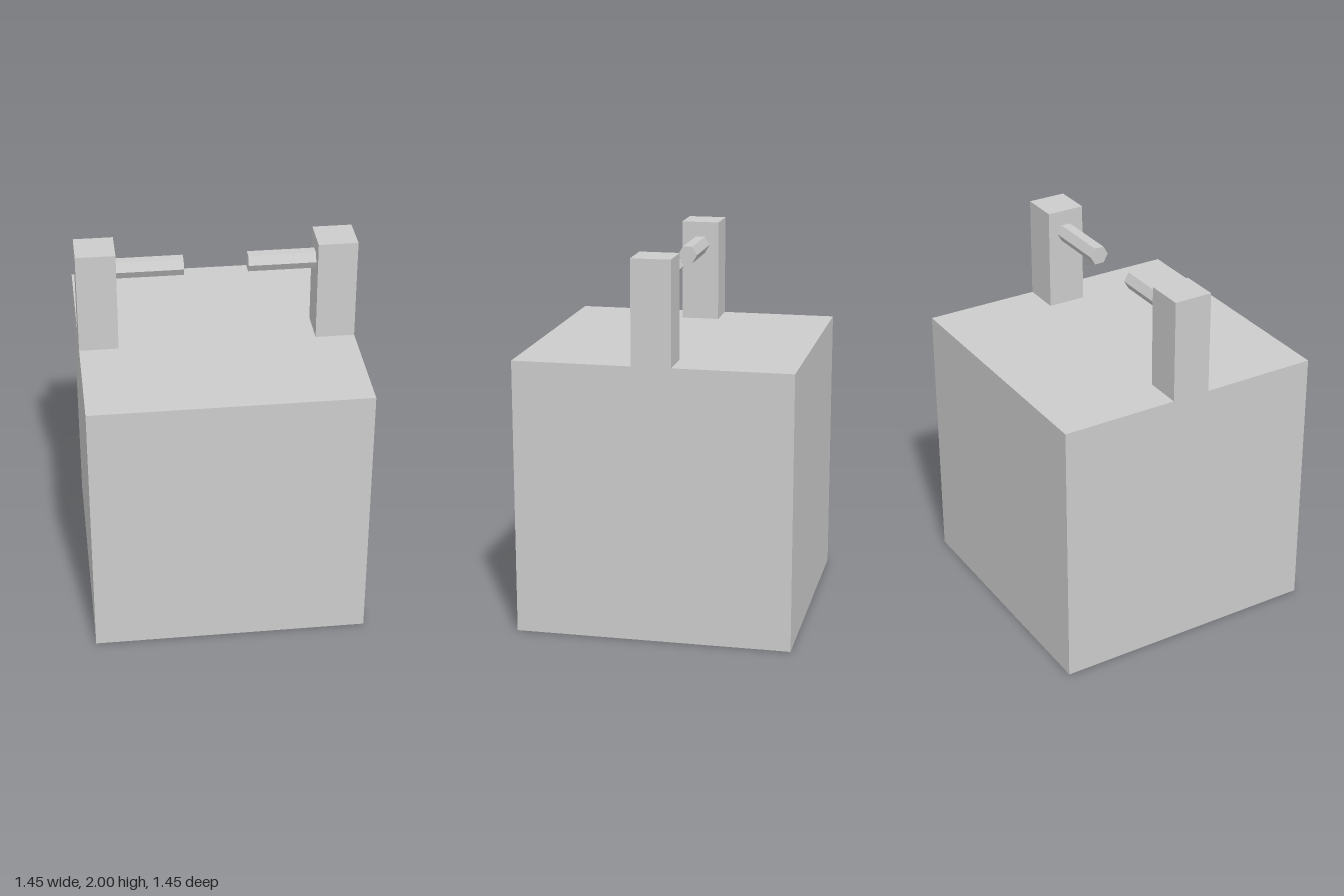
import * as THREE from 'three';

export function createModel() {
  const model = new THREE.Group();
  const material = new THREE.MeshStandardMaterial({ color: 0xcccccc, flatShading: true });

  const HALF = 0.725;     // half width of the cube
  const BODY_H = 1.455;   // top of the cube
  const POST_W = 0.206;
  const POST_H = 2 - BODY_H;
  const PEG_INNER = 0.167;
  const PEG_Y = 1.873;

  const add = (name, geometry, x, y) => {
    const mesh = new THREE.Mesh(geometry, material);
    mesh.name = name;
    mesh.position.set(x, y, 0);
    model.add(mesh);
  };

  // Cube body
  add('body', new THREE.BoxGeometry(HALF * 2, BODY_H, HALF * 2), 0, BODY_H / 2);

  // Square posts flush with the sides, each with a hexagonal peg pointing inwards
  const postInner = HALF - POST_W;
  const pegLength = postInner - PEG_INNER;
  const postGeometry = new THREE.BoxGeometry(POST_W, POST_H, POST_W);
  const pegGeometry = new THREE.CylinderGeometry(0.052, 0.052, pegLength, 6).rotateZ(Math.PI / 2);
  for (const [side, s] of [['left', 1], ['right', -1]]) {
    add(side + 'Post', postGeometry, s * (HALF - POST_W / 2), BODY_H + POST_H / 2);
    add(side + 'Peg', pegGeometry, s * (PEG_INNER + pegLength / 2), PEG_Y);
  }

  return model;
}
